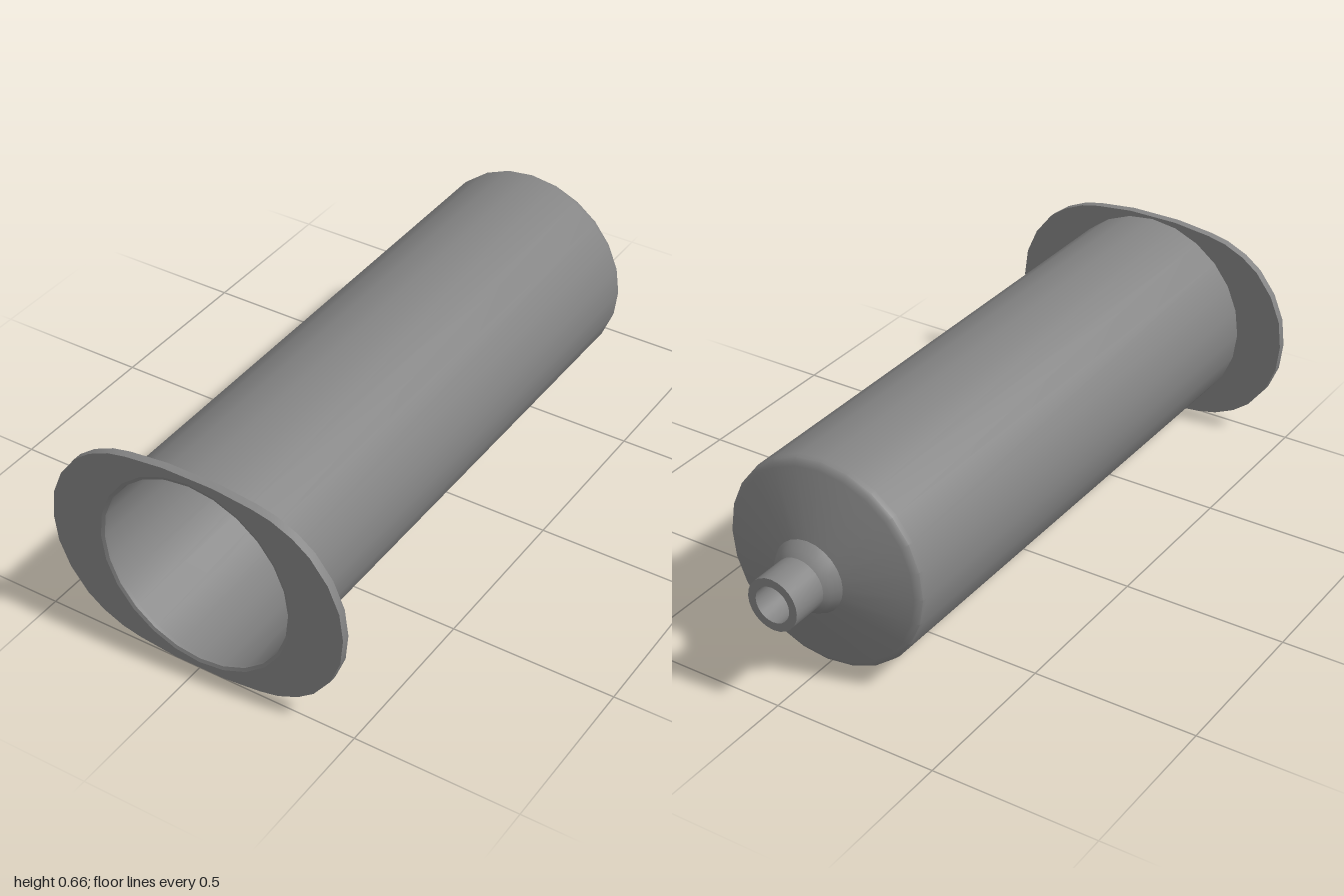
import * as THREE from 'three';
import { toCreasedNormals } from 'three/addons/utils/BufferGeometryUtils.js';

const SIDES = 24;
const AXIS_Y = 0.328;
const RIM = 0.308;
const v2 = ([x, y]) => new THREE.Vector2(x, y);

function part(name, geometry) {
  const mesh = new THREE.Mesh(
    toCreasedNormals(geometry, 0.5),
    new THREE.MeshStandardMaterial({ color: 0x848484 })
  );
  mesh.name = name;
  return mesh;
}

// Hollow barrel, shoulder, collar and nozzle: one closed [radius, z] profile
function barrel() {
  const outside = [
    [0.055, -1], [0.08, -1], [0.08, -0.885], [0.096, -0.87], [0.112, -0.842],
    [0.298, -0.782], [0.31, -0.776], [0.317, -0.767], [0.32, -0.752],
    [0.32, 0.985], [RIM, 0.985], [RIM, 1],
  ];
  const inside = [
    [0.298, 0.996], [0.297, 0.985], [0.297, -0.75], [0.291, -0.762],
    [0.095, -0.82], [0.07, -0.862], [0.055, -0.875], [0.055, -1],
  ];
  const geometry = new THREE.LatheGeometry([...outside, ...inside].map(v2), SIDES);
  return part('barrel', geometry.rotateX(Math.PI / 2));
}

// Wide finger flange with a round opening for the barrel
function flange() {
  const quarter = [
    [0.47, 0], [0.46, 0.085], [0.427, 0.164], [0.374, 0.233], [0.322, 0.272],
    [0.258, 0.301], [0.2, 0.314], [0.08, 0.328],
  ];
  const upper = [...quarter, ...quarter.map(([x, y]) => [-x, y]).reverse()];
  const lower = upper.slice(1, -1).map(([x, y]) => [x, -y]).reverse();
  const shape = new THREE.Shape([...upper, ...lower].map(v2));
  const hole = [];
  for (let i = 0; i < SIDES; i++) {
    const a = (-i / SIDES) * Math.PI * 2;
    hole.push(new THREE.Vector2(RIM * Math.cos(a), RIM * Math.sin(a)));
  }
  shape.holes.push(new THREE.Path(hole));
  const geometry = new THREE.ExtrudeGeometry(shape, { depth: 0.025, bevelEnabled: false });
  return part('fingerFlange', geometry.translate(0, 0, 0.975));
}

export function createModel() {
  const group = new THREE.Group();
  group.name = 'syringeBarrel';
  group.add(barrel(), flange());
  group.children.forEach((mesh) => { mesh.position.y = AXIS_Y; });
  return group;
}
